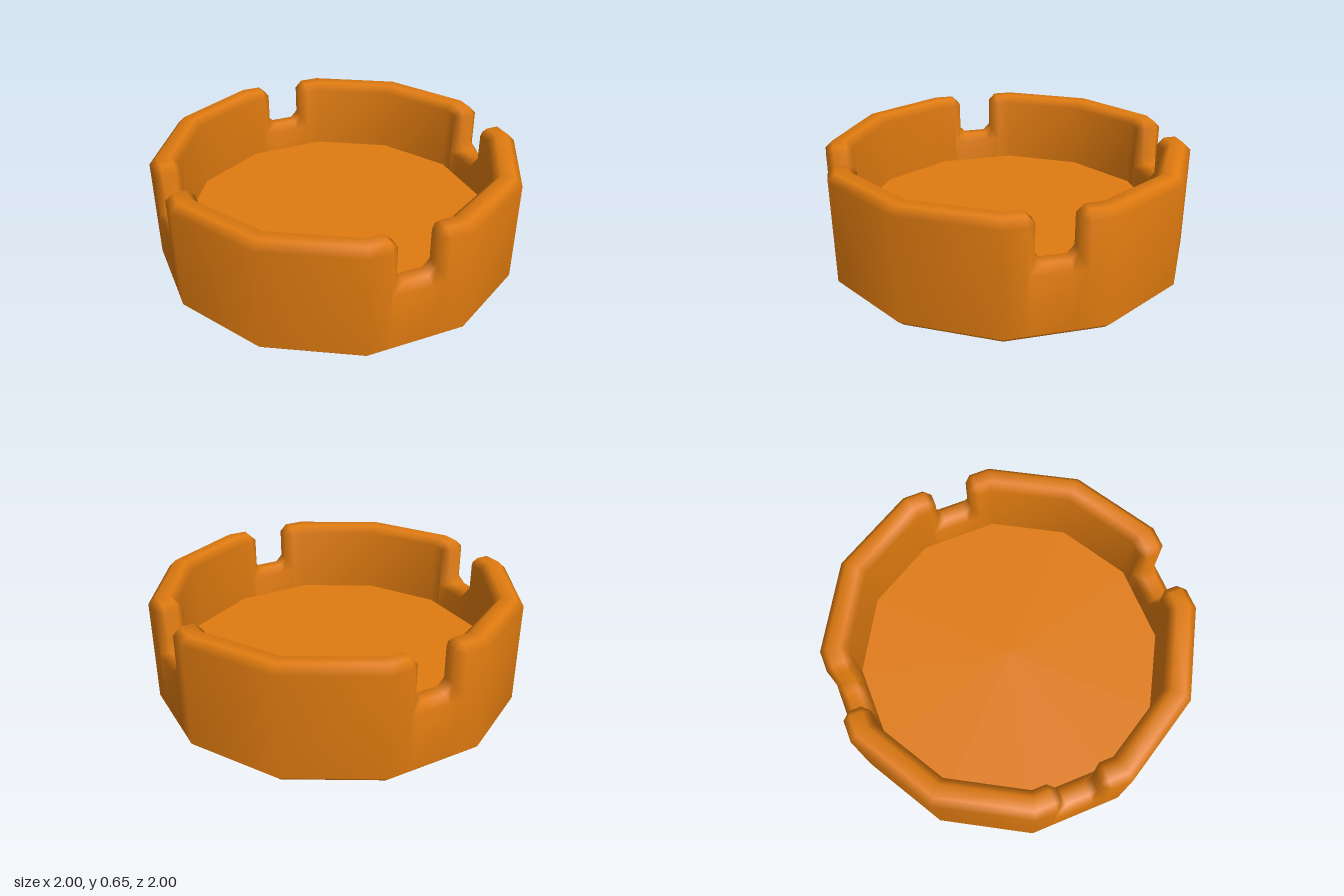
import * as THREE from 'three';
import { mergeVertices } from 'three/addons/utils/BufferGeometryUtils.js';

const SIDES = 12;
const OUT = 0.996, IN = 0.846;      // distances of outer and inner faces from the centre
const BEVEL = 0.04, HEIGHT = 0.65;
const NOTCH = 0.107, NOTCH_Y = 0.4; // half width and floor height of the rests
const FLOOR_Y = 0.23;
const TAN = Math.tan(Math.PI / SIDES);

// Bevelled wall section: [r, y, t], t being the place along the side.
// The face edge (tFace, yFace) and the top (tTop, yTop) may differ at notch ends.
function section(tFace, yFace, tTop, yTop, tBase = tFace) {
  return [
    [OUT - BEVEL, 0, tBase], [OUT, BEVEL, tBase],
    [OUT, yFace, tFace], [OUT - BEVEL, yTop, tTop],
    [IN + BEVEL, yTop, tTop], [IN, yFace, tFace],
    [IN, BEVEL, tBase], [IN + BEVEL, 0, tBase],
  ];
}

// Mitred section at the start corner of each side
function corner() {
  return section(0, HEIGHT - BEVEL, 0, HEIGHT).map(([r, y]) => [r, y, -r * TAN]);
}

// Sections through one notch, from post to notch floor and back
function notchSections() {
  const wide = NOTCH + BEVEL, narrow = NOTCH - BEVEL;
  const half = [
    section(wide, HEIGHT - BEVEL, wide, HEIGHT),
    section(wide, HEIGHT - BEVEL, NOTCH, HEIGHT - BEVEL),
    section(wide, NOTCH_Y - BEVEL, NOTCH, NOTCH_Y + BEVEL),
    section(narrow, NOTCH_Y - BEVEL, narrow, NOTCH_Y, narrow),
  ];
  const mirrored = half.map(s => s.map(([r, y, t]) => [r, y, -t]));
  return [...mirrored, ...half.reverse()];
}

function wallGeometry() {
  const rings = [];
  for (let i = 0; i < SIDES; i++) {
    const a = (i / SIDES) * Math.PI * 2;
    const sections = [corner(), ...(i % 3 === 0 ? notchSections() : [])];
    for (const s of sections) {
      rings.push(s.map(([r, y, t]) => [
        r * Math.sin(a) + t * Math.cos(a), y, r * Math.cos(a) - t * Math.sin(a),
      ]));
    }
  }
  const n = rings[0].length, index = [];
  rings.forEach((_, i) => {
    const p = i * n, q = ((i + 1) % rings.length) * n;
    for (let j = 0; j < n; j++) {
      const k = (j + 1) % n;
      index.push(p + j, q + j, q + k, p + j, q + k, p + k);
    }
  });
  const geo = new THREE.BufferGeometry();
  geo.setAttribute('position', new THREE.Float32BufferAttribute(rings.flat(2), 3));
  geo.setIndex(index);
  const smooth = mergeVertices(geo, 1e-4);
  smooth.computeVertexNormals();
  return smooth;
}

export function createModel() {
  const model = new THREE.Group();
  model.name = 'ashtray';
  const material = new THREE.MeshStandardMaterial({ color: 0xe07b10, side: THREE.DoubleSide });

  // Twelve-sided wall with four rests
  const wall = new THREE.Mesh(wallGeometry(), material);
  wall.name = 'notchedWall';

  // Thin floor part way up the wall
  const disc = new THREE.CircleGeometry(IN / Math.cos(Math.PI / SIDES), SIDES, Math.PI / SIDES);
  const floor = new THREE.Mesh(disc.rotateX(-Math.PI / 2), material);
  floor.name = 'trayFloor';
  floor.position.y = FLOOR_Y;

  model.add(wall, floor);
  model.rotation.y = THREE.MathUtils.degToRad(0.9);
  return model;
}
